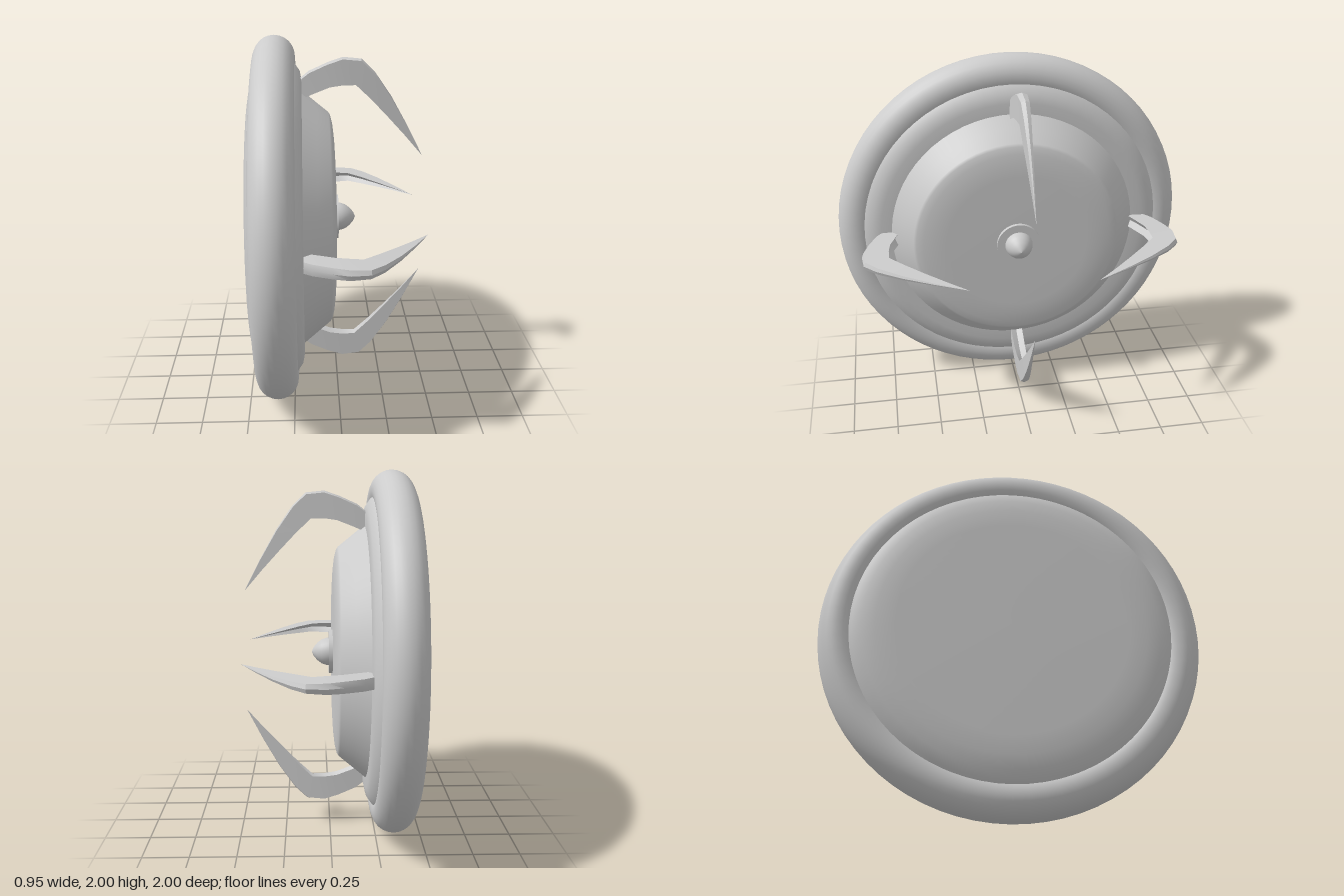
import * as THREE from 'three';
import { toCreasedNormals } from 'three/addons/utils/BufferGeometryUtils.js';

const material = new THREE.MeshStandardMaterial({ color: 0xcccccc, side: THREE.DoubleSide });

// Turned part about the x axis; profile is [radius, x] running from back to front
function turned(name, profile, segments = 64) {
  const points = profile.map(([r, x]) => new THREE.Vector2(r, x));
  const mesh = new THREE.Mesh(new THREE.LatheGeometry(points, segments), material);
  mesh.rotation.z = -Math.PI / 2;
  mesh.name = name;
  return mesh;
}

// Curved claw: each station is [outer x, outer r, inner x, inner r, half width]
function clawGeometry() {
  const stations = [
    [-0.20, 0.77, -0.20, 0.66, 0.033],
    [-0.15, 0.81, -0.13, 0.69, 0.033],
    [-0.05, 0.855, -0.04, 0.725, 0.032],
    [0.03, 0.882, 0.03, 0.735, 0.03],
    [0.13, 0.872, 0.10, 0.735, 0.025],
    [0.20, 0.805, 0.18, 0.66, 0.021],
    [0.29, 0.675, 0.27, 0.565, 0.014],
    [0.38, 0.515, 0.37, 0.455, 0.007],
    [0.47, 0.338, 0.47, 0.338, 0],
  ];
  const positions = [], index = [], n = 6;
  for (const [ox, or, ix, ir, w] of stations) {
    // slightly crowned back, grooved inner side
    const at = (t, z) => positions.push(ix + (ox - ix) * t, ir + (or - ir) * t, z);
    at(0.93, w * 0.9);
    at(1, 0);
    at(0.93, -w * 0.9);
    at(0, -w);
    at(0.2, 0);
    at(0, w);
  }
  for (let i = 0; i < stations.length - 1; i++) {
    for (let j = 0; j < n; j++) {
      const a = i * n + j, b = i * n + (j + 1) % n;
      index.push(a, a + n, b, b, a + n, b + n);
    }
  }
  const geometry = new THREE.BufferGeometry();
  geometry.setAttribute('position', new THREE.Float32BufferAttribute(positions, 3));
  geometry.setIndex(index);
  return toCreasedNormals(geometry, 0.6);
}

export function createModel() {
  const model = new THREE.Group();
  model.name = 'clawedDisc';
  const body = new THREE.Group();
  body.name = 'body';
  body.position.y = 1;
  model.add(body);

  // Rounded outer rim
  const rim = new THREE.Mesh(new THREE.TorusGeometry(0.89, 0.11, 24, 72), material);
  rim.name = 'rim';
  rim.rotation.y = Math.PI / 2;
  rim.position.x = -0.335;
  body.add(rim);

  // Back cover, front plate and raised dome
  body.add(turned('backCover', [[0, -0.48], [0.6, -0.479], [0.7, -0.472], [0.77, -0.46], [0.82, -0.44], [0.86, -0.41]]));
  body.add(turned('frontPlate', [[0.87, -0.25], [0.85, -0.228], [0.81, -0.2], [0.76, -0.19], [0.69, -0.19]]));
  body.add(turned('domeSide', [[0.705, -0.195], [0.64, -0.115], [0.585, -0.047], [0.57, -0.037], [0.53, -0.027], [0.47, -0.02], [0.4, -0.016], [0, -0.016]]));

  // Centre washer and pointed stud
  body.add(turned('washerEdge', [[0.122, -0.02], [0.122, 0.005]], 40));
  body.add(turned('washerFace', [[0.122, 0.005], [0, 0.005]], 40));
  body.add(turned('stud', [[0.078, 0], [0.076, 0.02], [0.067, 0.045], [0.048, 0.07], [0.024, 0.09], [0, 0.1]], 32));

  // Four claws around the axis
  const claws = new THREE.Group();
  claws.name = 'claws';
  claws.position.set(0, 0.007, -0.012);
  const geometry = clawGeometry();
  for (let k = 0; k < 4; k++) {
    const claw = new THREE.Mesh(geometry, material);
    claw.name = 'claw' + (k + 1);
    claw.rotation.x = k * Math.PI / 2;
    claws.add(claw);
  }
  body.add(claws);
  return model;
}
